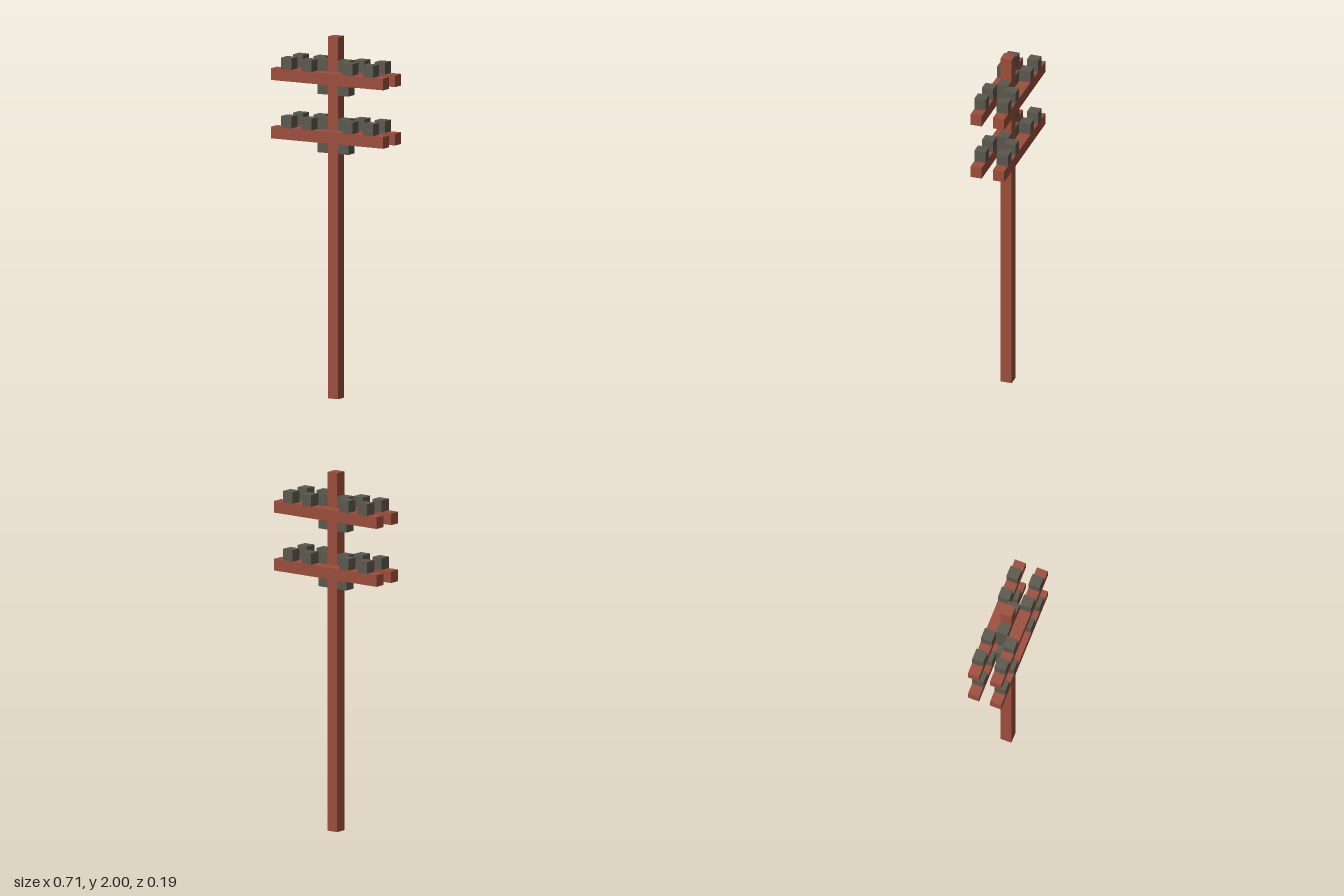
import * as THREE from 'three';

const U = 2 / 31; // one block; the pole is 31 blocks tall

const wood = new THREE.MeshStandardMaterial({ color: 0x9b4d3a });
wood.name = 'redBrownWood';
const iron = new THREE.MeshStandardMaterial({ color: 0x5a574d });
iron.name = 'darkGreyIron';

// Box sized in blocks, placed by the centre of its base
function block(name, material, [w, h, d], [x, y, z]) {
  const mesh = new THREE.Mesh(new THREE.BoxGeometry(w * U, h * U, d * U), material);
  mesh.position.set(x * U, (y + h / 2) * U, z * U);
  mesh.name = name;
  return mesh;
}

// Pair of beams clamped around the pole, with braces and insulators
function crossarm(name, y) {
  const arm = new THREE.Group();
  arm.name = name;
  for (const side of [-1, 1]) {
    arm.add(block('beam', wood, [11, 1, 1], [0, y, side]));
    arm.add(block('brace', iron, [1, 3, 1], [side, y - 1, 0]));
    for (const x of [-4, -2, 2, 4]) {
      arm.add(block('insulator', iron, [1, 1, 1], [x, y + 1, side]));
    }
  }
  return arm;
}

export function createModel() {
  const model = new THREE.Group();
  model.name = 'utilityPole';
  model.add(block('pole', wood, [1, 31, 1], [0, 0, 0]));
  model.add(crossarm('upperCrossarm', 27));
  model.add(crossarm('lowerCrossarm', 22));
  return model;
}
